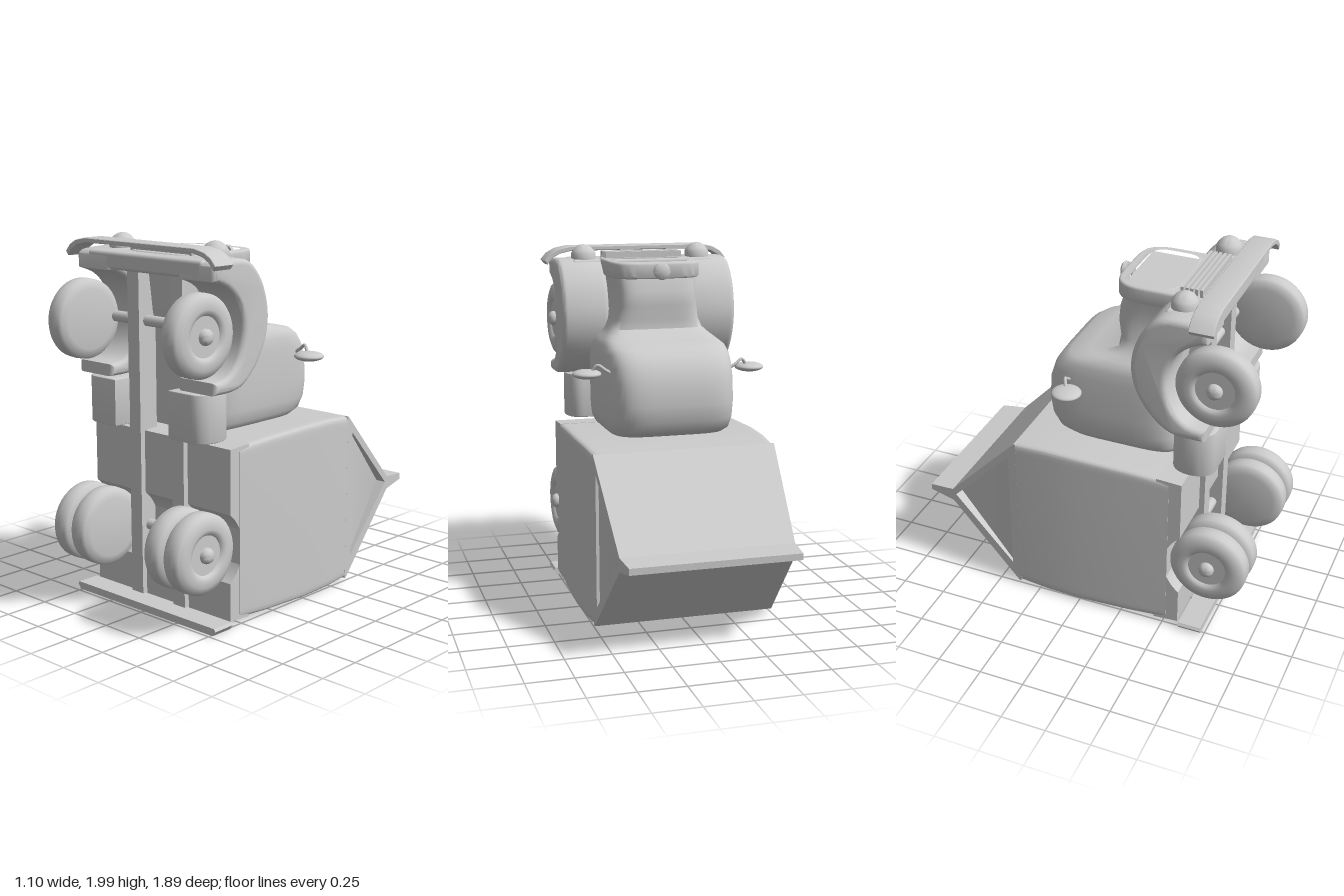
import * as THREE from 'three';
import { toCreasedNormals } from 'three/addons/utils/BufferGeometryUtils.js';
import { RoundedBoxGeometry } from 'three/addons/geometries/RoundedBoxGeometry.js';

const grey = new THREE.MeshStandardMaterial({ color: 0xcccccc });

// Section at height y: squared-off oval with half width w, from z0 to z1
function section(y, w, z0, z1, n, count = 48) {
  const pow = v => Math.sign(v) * Math.abs(v) ** (2 / n);
  return Array.from({ length: count }, (_, i) => {
    const a = ((i + 0.5) / count) * Math.PI * 2;
    return [w * pow(Math.cos(a)), y, (z0 + z1) / 2 + ((z1 - z0) / 2) * pow(Math.sin(a))];
  });
}

// Skin over rings stacked along +y, closed at both ends
function loft(rings, crease = 0.6) {
  const n = rings[0].length, pos = rings.flat(2), idx = [];
  for (let r = 0; r < rings.length - 1; r++)
    for (let i = 0; i < n; i++) {
      const j = (i + 1) % n, a = r * n + i, b = r * n + j;
      idx.push(a, a + n, b, b, a + n, b + n);
    }
  const top = (rings.length - 1) * n;
  for (let i = 1; i < n - 1; i++) idx.push(0, i, i + 1, top, top + i + 1, top + i);
  const g = new THREE.BufferGeometry();
  g.setAttribute('position', new THREE.Float32BufferAttribute(pos, 3));
  g.setIndex(idx);
  return toCreasedNormals(g, crease);
}

const shapeOf = pts => new THREE.Shape(pts.map(p => new THREE.Vector2(...p)));

// Side outline given as (z, y), extruded symmetrically across x
function sideExtrude(shape, width, bevel = 0) {
  const g = new THREE.ExtrudeGeometry(shape, {
    depth: width - 2 * bevel, bevelEnabled: bevel > 0, bevelSize: bevel,
    bevelThickness: bevel, bevelOffset: -bevel, bevelSegments: 5, curveSegments: 24,
  });
  return g.translate(0, 0, -(width - 2 * bevel) / 2).rotateY(-Math.PI / 2);
}

export function createModel() {
  const model = new THREE.Group();
  const add = (name, geo, x = 0, y = 0, z = 0) => {
    const m = new THREE.Mesh(geo, grey);
    m.name = name;
    m.position.set(x, y, z);
    model.add(m);
    return m;
  };
  const box = (w, h, d) => new THREE.BoxGeometry(w, h, d);

  // Cargo body: bulged box, lofted upward from the floor (towards -z)
  const bodyRows = [[-0.52, 0.508, 0.035, 0.96], [-0.3, 0.517, 0.022, 0.975], [0, 0.524, 0.012, 0.984],
    [0.2, 0.518, 0.013, 0.982], [0.38, 0.505, 0.022, 0.968]];
  add('cargoBody', loft(bodyRows.map(r => section(...r, 40))).rotateX(-Math.PI / 2));

  // Lower body with wheel arch tunnel
  const lower = shapeOf([[0.45, 0.03], [0.59, 0.04]]);
  const half = Math.acos(0.145 / 0.235);
  lower.absarc(0.735, 0.43, 0.235, Math.PI + half, Math.PI - half, true);
  lower.lineTo(0.59, 0.96);
  lower.lineTo(0.45, 0.967);
  add('lowerBody', toCreasedNormals(sideExtrude(lower, 1.012), 0.6));

  // Gable roof: open-ended rim with ridge fin, narrowing towards the ridge
  const rim = shapeOf([[-0.37, 0.022], [-0.38, 0.022], [-0.8, 0.455], [-0.945, 0.482],
    [-0.945, 0.518], [-0.8, 0.53], [-0.38, 0.968], [-0.37, 0.968]]);
  rim.holes.push(new THREE.Path([[-0.42, 0.14], [-0.42, 0.87], [-0.78, 0.5]].map(p => new THREE.Vector2(...p))));
  const rimGeo = sideExtrude(rim, 1);
  const p = rimGeo.attributes.position;
  for (let i = 0; i < p.count; i++) p.setX(i, p.getX(i) * (1.01 + (p.getZ(i) + 0.38) * 0.16));
  rimGeo.computeVertexNormals();
  add('roofRim', rimGeo);
  // Recessed gable panels
  add('gablePanels', loft([section(0.38, 0.5, 0.04, 0.95, 40), section(0.42, 0.485, 0.09, 0.91, 40),
    section(0.79, 0.41, 0.485, 0.505, 40)]).rotateX(-Math.PI / 2));

  // Cab, windscreen and hood in one skin: [y, half width, roof z, floor z, squareness]
  const cabRows = [[0.99, 0.29, -0.13, 0.5, 5], [1.0, 0.32, -0.18, 0.5, 5], [1.03, 0.34, -0.235, 0.5, 5],
    [1.09, 0.35, -0.268, 0.5, 5], [1.18, 0.353, -0.282, 0.5, 5], [1.3, 0.352, -0.275, 0.5, 5],
    [1.38, 0.35, -0.25, 0.5, 5], [1.44, 0.345, -0.21, 0.5, 5], [1.475, 0.335, -0.16, 0.5, 5],
    [1.5, 0.315, -0.05, 0.5, 5], [1.52, 0.295, 0.03, 0.5, 5], [1.55, 0.27, 0.105, 0.51, 5],
    [1.6, 0.25, 0.11, 0.52, 5], [1.68, 0.235, 0.092, 0.53, 5], [1.76, 0.23, 0.098, 0.54, 5],
    [1.84, 0.24, 0.125, 0.55, 5]];
  add('cabAndHood', loft(cabRows.map(r => section(...r)), 0.9));

  // Radiator shell with recessed grille
  const outline = (w, z0, z1) => section(0, w, z0, z1, 4.5).map(q => new THREE.Vector2(q[0], -q[2]));
  const shell = new THREE.Shape(outline(0.245, 0.1, 0.6));
  shell.holes.push(new THREE.Path(outline(0.215, 0.145, 0.425)));
  add('radiatorShell', toCreasedNormals(new THREE.ExtrudeGeometry(shell, {
    depth: 0.06, bevelSize: 0.012, bevelThickness: 0.015, bevelSegments: 3,
  }).rotateX(-Math.PI / 2), 0.7), 0, 1.845, 0);
  add('grillePanel', box(0.44, 0.02, 0.3), 0, 1.885, 0.285);
  for (let i = 0; i < 5; i++) add('grilleSlat', box(0.45, 0.05, 0.016), 0, 1.93, 0.46 + i * 0.026);
  add('frontApron', new RoundedBoxGeometry(0.84, 0.095, 0.26, 3, 0.02), 0, 1.867, 0.57);

  // Radiator cap, pointing along -z
  const cap = [[0, 0], [0.025, 0], [0.025, 0.035], [0.045, 0.037], [0.047, 0.055], [0.035, 0.065], [0, 0.066]];
  const lathe = (pts, seg = 32) =>
    toCreasedNormals(new THREE.LatheGeometry(pts.map(q => new THREE.Vector2(...q)), seg), 0.7);
  add('radiatorCap', lathe(cap).rotateX(-Math.PI / 2), 0, 1.873, 0.115);

  // Front bumper with swept-back ends
  const bow = [[-0.545, 1.9], [-0.515, 1.935], [-0.47, 1.96], [-0.4, 1.975], [0.4, 1.975], [0.47, 1.96],
    [0.515, 1.935], [0.545, 1.9]];
  const bumper = shapeOf([...bow.slice().reverse(), ...bow.map(([x, y]) => [x * 0.975, y - 0.018])]);
  add('frontBumper', toCreasedNormals(new THREE.ExtrudeGeometry(bumper, {
    depth: 0.11, bevelSize: 0.004, bevelThickness: 0.01, bevelSegments: 2,
  }), 0.6), 0, 0, 0.62);

  // Rear bumper
  const rear = shapeOf([[-0.53, 0.03], [-0.51, 0.004], [0.51, 0.004], [0.53, 0.03], [0.52, 0.045], [-0.52, 0.045]]);
  add('rearBumper', new THREE.ExtrudeGeometry(rear, { depth: 0.13, bevelEnabled: false }), 0, 0, 0.6);

  // Shared geometry for the paired parts
  const w = 0.128;
  const tyre = lathe([[0, -w / 2], [0.16, -w / 2], [0.2, -0.43 * w], [0.213, -0.3 * w], [0.215, 0],
    [0.213, 0.25 * w], [0.2, 0.38 * w], [0.17, 0.47 * w], [0.135, 0.5 * w], [0.115, 0.46 * w],
    [0.105, 0.36 * w], [0, 0.36 * w]], 48).rotateZ(-Math.PI / 2);
  const hub = lathe([[0.042, 0], [0.042, 0.02], [0.034, 0.036], [0.018, 0.044], [0, 0.046]], 24).rotateZ(-Math.PI / 2);
  const lamp = lathe([[0.07, 0], [0.07, 0.035], [0.06, 0.05], [0.045, 0.068], [0.025, 0.08], [0, 0.085]]);

  const outer = new THREE.SplineCurve([[0.7, 1.25], [0.52, 1.26], [0.4, 1.35], [0.32, 1.48], [0.295, 1.62],
    [0.33, 1.77], [0.41, 1.88], [0.5, 1.917], [0.66, 1.912], [0.7, 1.89]].map(q => new THREE.Vector2(...q)));
  const inner = new THREE.SplineCurve([[0.7, 1.815], [0.6, 1.775], [0.52, 1.69], [0.487, 1.56], [0.52, 1.42],
    [0.6, 1.335], [0.7, 1.315]].map(q => new THREE.Vector2(...q)));
  const fender = toCreasedNormals(sideExtrude(
    new THREE.Shape([...outer.getPoints(36), ...inner.getPoints(20)]), 0.27, 0.03), 0.8);

  const tankShape = shapeOf([[-0.11, -0.11], [0.04, -0.11]]);
  tankShape.bezierCurveTo(0.15, -0.11, 0.15, 0.11, 0.04, 0.11);
  tankShape.lineTo(-0.11, 0.11);
  const tank = toCreasedNormals(new THREE.ExtrudeGeometry(tankShape, {
    depth: 0.235, bevelSize: 0.006, bevelThickness: 0.01, bevelSegments: 2, curveSegments: 20,
  }).rotateX(-Math.PI / 2), 0.7);

  for (const s of [1, -1]) {
    const turn = s > 0 ? 0 : Math.PI;
    for (const [name, x, y] of [['frontWheel', 0.424, 1.55], ['rearOuterWheel', 0.424, 0.43], ['rearInnerWheel', 0.285, 0.43]]) {
      add(name, tyre, s * x, y, 0.735).rotation.y = turn;
      if (x > 0.4) add('hubCap', hub, s * (x + 0.04), y, 0.735).rotation.y = turn;
    }
    add('frameRail', box(0.085, 1.78, 0.12), s * 0.16, 0.93, 0.56);
    add('fender', fender, s * 0.375, 0, 0);
    add('fuelTank', tank, s * 0.315, 1.0, 0.608).rotation.y = turn;
    add('headlight', lamp, s * 0.34, 1.913, 0.52);

    // Door mirror and its arm
    const mirror = add('mirror', new THREE.SphereGeometry(0.08, 32, 16), s * 0.464, 1.345, -0.075);
    mirror.scale.y = 0.32;
    const arm = new THREE.CatmullRomCurve3([[0.33, 1.345, -0.11], [0.37, 1.37, -0.115], [0.41, 1.395, -0.105],
      [0.44, 1.36, -0.09]].map(q => new THREE.Vector3(s * q[0], q[1], q[2])));
    add('mirrorArm', new THREE.TubeGeometry(arm, 12, 0.009, 8));
  }
  // Axles
  for (const y of [0.43, 1.55])
    add('axle', new THREE.CylinderGeometry(0.03, 0.03, 0.75, 16).rotateZ(Math.PI / 2), 0, y, 0.56);
  return model;
}
